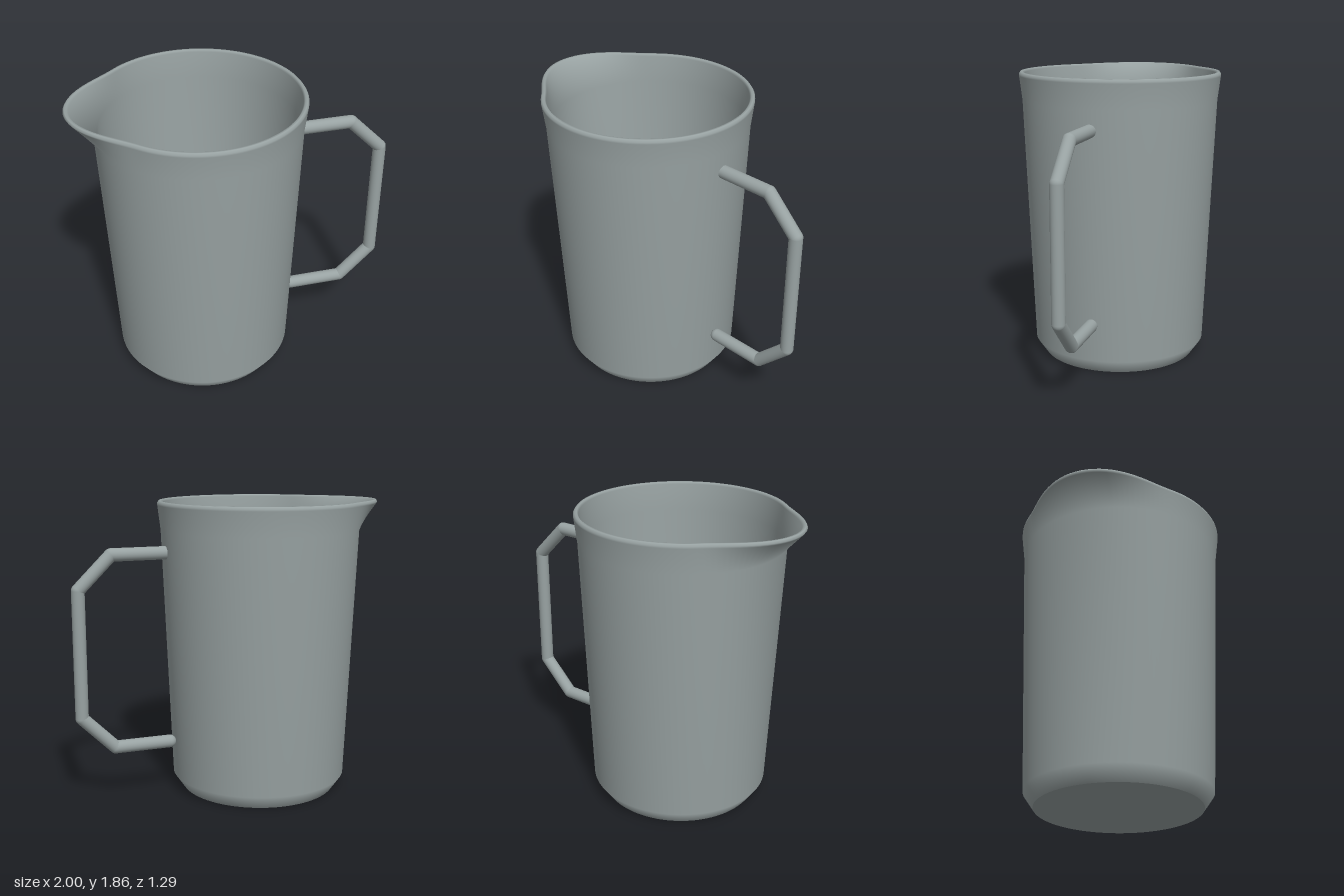
import * as THREE from 'three';

const CX = -0.215; // jug axis

// Ring-by-ring shell from [radius, y] pairs, pulled outward near the rim to form the spout
function jugShell(profile, segments) {
  const pos = [], index = [];
  for (const [r, y] of profile) {
    const lift = Math.min(Math.max((y - 1.68) / 0.165, 0), 1);
    for (let j = 0; j < segments; j++) {
      const a = (j / segments) * Math.PI * 2;
      const t = Math.min(Math.abs(a - Math.PI) / 0.82, 1);
      const radius = r + 0.14 * lift * (0.5 + 0.5 * Math.cos(Math.PI * t));
      pos.push(CX + radius * Math.cos(a), y, -radius * Math.sin(a));
    }
  }
  for (let i = 0; i < profile.length - 1; i++) {
    for (let j = 0; j < segments; j++) {
      const k = (j + 1) % segments;
      const a = i * segments + j, b = i * segments + k;
      index.push(a, b, a + segments, b, b + segments, a + segments);
    }
  }
  const geo = new THREE.BufferGeometry();
  geo.setAttribute('position', new THREE.Float32BufferAttribute(pos, 3));
  geo.setIndex(index);
  geo.computeVertexNormals();
  return geo;
}

export function createModel() {
  const group = new THREE.Group();
  const grey = new THREE.MeshStandardMaterial({ color: 0x98a2a2 });
  grey.name = 'matte grey';

  const add = (name, geo, parent = group) => {
    const mesh = new THREE.Mesh(geo, grey);
    mesh.name = name;
    parent.add(mesh);
    return mesh;
  };

  // Walls: outside up, over the rounded rim, inside down
  add('jugWall', jugShell([
    [0.5, 0], [0.562, 0.09], [0.626, 1.68], [0.645, 1.835], [0.645, 1.847],
    [0.636, 1.86], [0.622, 1.86], [0.612, 1.847], [0.598, 1.68],
    [0.535, 0.1], [0.49, 0.03],
  ], 128));

  // Flat base and inner floor
  const base = add('base', new THREE.CircleGeometry(0.5, 128));
  base.rotation.x = Math.PI / 2;
  base.position.x = CX;
  const floor = add('innerFloor', new THREE.CircleGeometry(0.49, 128));
  floor.rotation.x = -Math.PI / 2;
  floor.position.set(CX, 0.03, 0);

  // Handle: straight rods with rounded joints and ends
  const handle = new THREE.Group();
  handle.name = 'handle';
  group.add(handle);
  const R = 0.041;
  const path = [
    [0.396, 1.553], [0.75, 1.553], [0.957, 1.346],
    [0.957, 0.547], [0.75, 0.34], [0.396, 0.34],
  ].map(([x, y]) => new THREE.Vector3(x, y, 0));
  path.forEach((p, i) => {
    add('handleJoint', new THREE.SphereGeometry(R, 24, 16), handle).position.copy(p);
    if (i === path.length - 1) return;
    const dir = path[i + 1].clone().sub(p);
    const rod = add('handleRod', new THREE.CylinderGeometry(R, R, dir.length(), 24, 1, true), handle);
    rod.position.copy(p).addScaledVector(dir, 0.5);
    rod.quaternion.setFromUnitVectors(new THREE.Vector3(0, 1, 0), dir.normalize());
  });

  return group;
}
